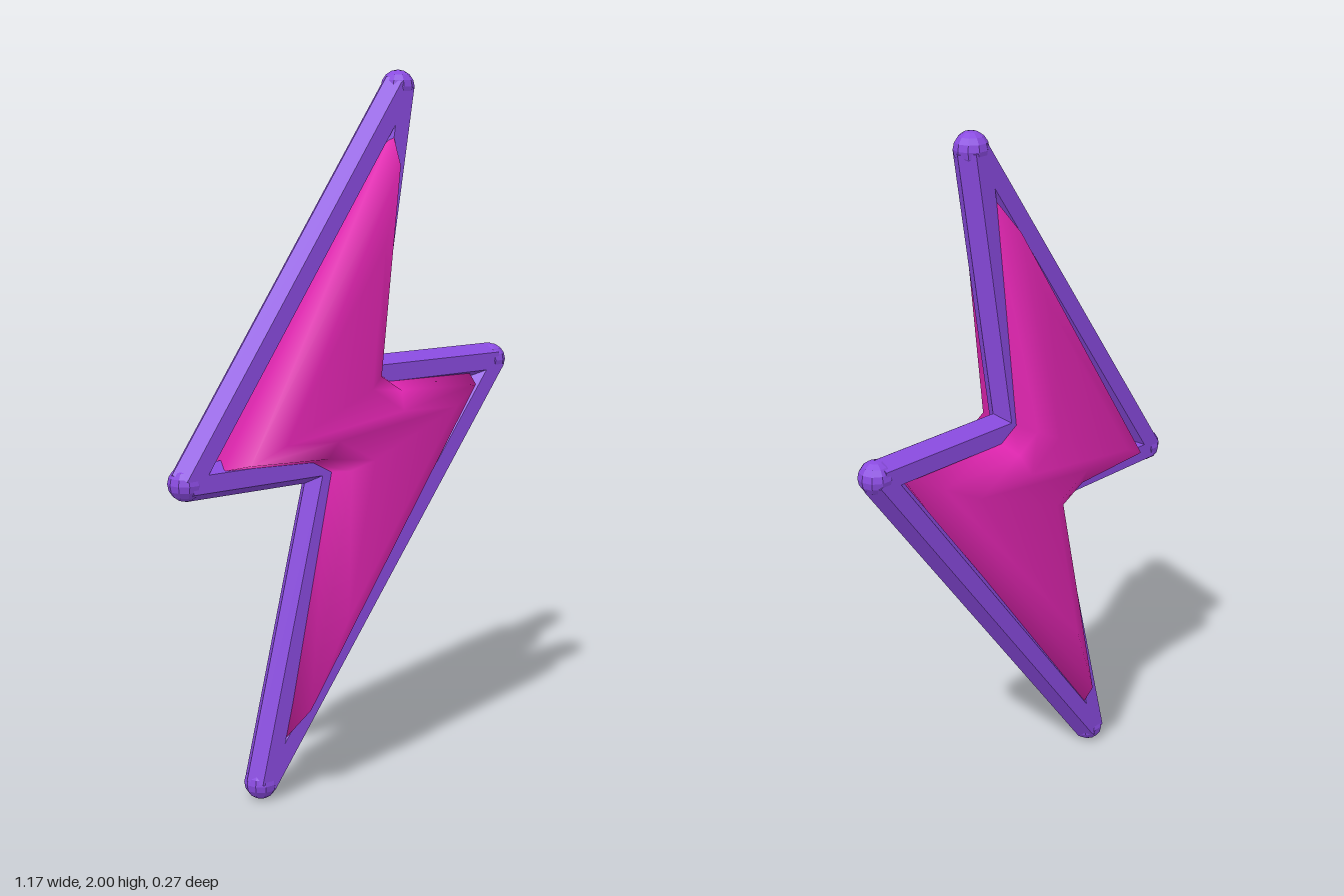
import * as THREE from 'three';

const V = (x, y) => new THREE.Vector2(x, y);

// Moves every edge of a counter-clockwise outline inwards by d, with mitred corners
function inset(points, d) {
  const n = points.length;
  return points.map((p, i) => {
    const a = p.clone().sub(points[(i + n - 1) % n]).normalize();
    const b = points[(i + 1) % n].clone().sub(p).normalize();
    const n1 = V(-a.y, a.x), n2 = V(-b.y, b.x);
    const k = d / (1 + n1.dot(n2));
    return p.clone().add(n1.add(n2).multiplyScalar(k));
  });
}

// Solid made from stacked insets of one outline, closed by flat caps
function pillow(outline, levels) {
  const n = outline.length, pos = [], idx = [];
  for (const [d, z] of levels) for (const p of inset(outline, d)) pos.push(p.x, p.y, z);
  for (let r = 0; r < levels.length - 1; r++) {
    for (let i = 0; i < n; i++) {
      const j = (i + 1) % n, a = r * n + i, b = r * n + j;
      idx.push(a, b, b + n, a, b + n, a + n);
    }
  }
  const last = (levels.length - 1) * n;
  const cap = THREE.ShapeUtils.triangulateShape(inset(outline, levels[0][0]), []);
  for (const [a, b, c] of cap) idx.push(a, c, b, last + a, last + b, last + c);
  const g = new THREE.BufferGeometry();
  g.setAttribute('position', new THREE.Float32BufferAttribute(pos, 3));
  g.setIndex(idx);
  g.computeVertexNormals();
  return g;
}

export function createModel() {
  const model = new THREE.Group();
  model.name = 'lightningBolt';
  const purple = new THREE.MeshStandardMaterial({ name: 'purple frame', color: 0x8a4be0, flatShading: true });
  const pink = new THREE.MeshStandardMaterial({ name: 'pink body', color: 0xe025b0 });

  // Frame: hexagonal bars joined by small balls
  const frame = new THREE.Group();
  frame.name = 'frame';
  const corners = [V(0.18, 1.953), V(-0.538, 0.925), V(-0.085, 0.925),
    V(-0.303, 0.047), V(0.538, 1.165), V(0.05, 1.165)];
  const ball = new THREE.SphereGeometry(0.047, 10, 8);
  corners.forEach((p, i) => {
    const q = corners[(i + 1) % corners.length];
    const d = q.clone().sub(p);
    const bar = new THREE.Mesh(
      new THREE.CylinderGeometry(0.049, 0.049, d.length(), 6).rotateY(Math.PI / 6), purple);
    bar.name = 'frameBar';
    bar.position.set((p.x + q.x) / 2, (p.y + q.y) / 2, 0);
    bar.rotation.z = Math.atan2(-d.x, d.y);
    const joint = new THREE.Mesh(ball, purple);
    joint.name = 'frameJoint';
    joint.position.set(p.x, p.y, 0);
    frame.add(bar, joint);
  });
  model.add(frame);

  // Body: puffy bolt with rounded edges, the same front and back
  const outline = [V(0.138, 1.83), V(-0.44, 0.95), V(-0.15, 0.937), V(-0.09, 0.905),
    V(-0.25, 0.16), V(0.433, 1.135), V(0.12, 1.145), V(0.065, 1.18)];
  const front = [[0, 0.03], [0.022, 0.104], [0.075, 0.135]];
  const back = front.map(([d, z]) => [d, -z]).reverse();
  const body = new THREE.Mesh(pillow(outline, [...back, ...front]), pink);
  body.name = 'body';
  model.add(body);
  return model;
}
